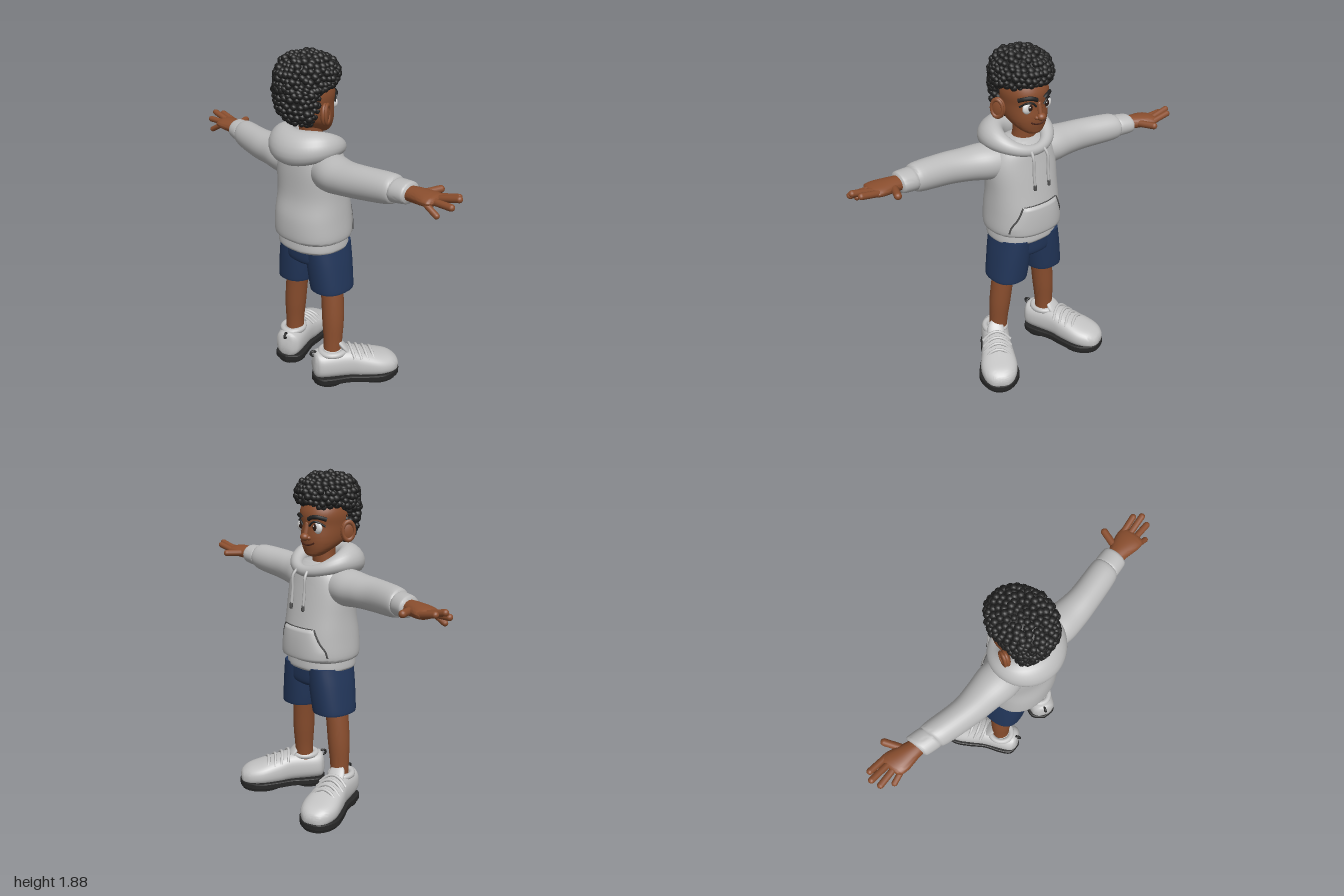
import * as THREE from 'three';
import { mergeGeometries, toCreasedNormals } from 'three/addons/utils/BufferGeometryUtils.js';

const V = (x, y, z) => new THREE.Vector3(x, y, z);
const mat = (name, color) => Object.assign(new THREE.MeshStandardMaterial({ color }), { name });

// Surface from rows of points; wrap joins each row to itself, close joins last row to first
function grid(rows, wrap = true, close = false) {
  const m = rows[0].length, n = rows.length, idx = [];
  for (let i = 0; i < (close ? n : n - 1); i++) for (let j = 0; j < (wrap ? m : m - 1); j++) {
    const k = (i + 1) % n, l = (j + 1) % m;
    idx.push(i * m + j, i * m + l, k * m + l, i * m + j, k * m + l, k * m + j);
  }
  const g = new THREE.BufferGeometry().setFromPoints(rows.flat());
  g.setIndex(idx);
  g.computeVertexNormals();
  return g;
}

// Smooth interpolation of rings { c: centre, a, b: radii }
const ring = (c, a, b = a) => ({ c, a, b });
const upright = (z, rows) => rows.map(([y, x, a, b]) => ring(V(x, y, z), a, b));
function sampler(rings) {
  const c = new THREE.CatmullRomCurve3(rings.map(r => r.c), false, 'catmullrom');
  const q = new THREE.CatmullRomCurve3(rings.map(r => V(r.a, r.b, 0)), false, 'catmullrom');
  return t => ({ c: c.getPoint(t), r: q.getPoint(t) });
}

const AXES = { x: [V(0, 1, 0), V(0, 0, 1)], y: [V(0, 0, 1), V(1, 0, 0)], z: [V(1, 0, 0), V(0, 1, 0)] };
const pw = (v, p) => Math.sign(v) * Math.abs(v) ** (2 / p);

// Capped body through rings stacked along an axis
function loft(axis, rings, p = 2, seg = 36) {
  const list = rings[0].c[axis] > rings.at(-1).c[axis] ? [...rings].reverse() : rings;
  const at = sampler(list), n = (list.length - 1) * 5, [A, B] = AXES[axis], rows = [];
  for (let i = 0; i <= n; i++) {
    const { c, r } = at(i / n);
    rows.push(Array.from({ length: seg }, (_, j) => {
      const a = j / seg * Math.PI * 2;
      return c.clone().addScaledVector(A, r.x * pw(Math.cos(a), p)).addScaledVector(B, r.y * pw(Math.sin(a), p));
    }));
  }
  rows.unshift(rows[0].map(() => at(0).c));
  rows.push(rows[0].map(() => at(1).c));
  return toCreasedNormals(grid(rows), 1);
}

// Front (+x) surface of an upright loft at a given y, z
function frontX(at, y, z, p) {
  let lo = 0, hi = 1;
  for (let i = 0; i < 30; i++) { const m = (lo + hi) / 2; if (at(m).c.y < y) lo = m; else hi = m; }
  const { c, r } = at(lo);
  return c.x + r.y * Math.max(0, 1 - Math.min(1, Math.abs((z - c.z) / r.x)) ** p) ** (1 / p);
}

const ball = (x, y, z, rx, ry, rz) => new THREE.SphereGeometry(1, 24, 16).scale(rx, ry, rz).translate(x, y, z);
const tube = (pts, r) => new THREE.TubeGeometry(new THREE.CatmullRomCurve3(pts), 24, r, 8);
const ARC = [-1, -.5, 0, .5, 1];
function capsule(a, b, r) {
  const d = b.clone().sub(a), g = new THREE.CapsuleGeometry(r, d.length(), 6, 12);
  g.applyQuaternion(new THREE.Quaternion().setFromUnitVectors(V(0, 1, 0), d.clone().normalize()));
  const m = a.clone().lerp(b, 0.5);
  return g.translate(m.x, m.y, m.z);
}

export function createModel() {
  const skin = mat('skin', 0x8a4e2e), black = mat('hair black', 0x202020), fabric = mat('hoodie grey', 0xbcbcbc);
  const navy = mat('shorts navy', 0x22365a), leather = mat('shoe grey', 0xc4c4c4), rubber = mat('sole black', 0x272727);
  const white = mat('eye white', 0xdcdcdc), brown = mat('iris brown', 0x2c1c16), seam = mat('seam grey', 0x505050);
  const lip = mat('mouth brown', 0x4a2418);
  const root = new THREE.Group();
  const group = name => { const g = new THREE.Group(); g.name = name; root.add(g); return g; };
  const add = (name, geo, m, parent = root) => {
    const o = new THREE.Mesh(geo, m); o.name = name; parent.add(o); return o;
  };

  // Hoodie body and hem
  const torso = upright(0, [[.865, -.07, .195, .17], [.89, -.07, .214, .19], [1, -.07, .21, .188],
    [1.12, -.068, .205, .166], [1.27, -.08, .205, .15], [1.36, -.085, .165, .135], [1.4, -.09, .11, .1]]);
  const torsoAt = sampler(torso);
  add('hoodieBody', loft('y', torso, 2.3, 48), fabric);
  add('hoodieHem', loft('y', upright(0, [[.81, -.07, .188, .16], [.825, -.07, .197, .17], [.875, -.07, .193, .167]]), 2.3, 48), fabric);

  // Hood: thick ring, low and thin in front, heavy behind
  const hoodRows = Array.from({ length: 64 }, (_, i) => {
    const a = i / 64 * Math.PI * 2, b = (1 - Math.cos(a)) / 2, s = Math.sin(a);
    const c = V(-.085 + .14 * Math.cos(a), 1.355 + .045 * b + .035 * s * s, .155 * s), rr = .028 + .055 * b, ry = .03 + .06 * b;
    return Array.from({ length: 20 }, (_, j) => {
      const t = j / 20 * Math.PI * 2, k = rr * Math.cos(t) - .02 * b * Math.sin(t);
      return c.clone().add(V(Math.cos(a) * k, ry * Math.sin(t), s * k));
    });
  });
  add('hood', grid(hoodRows, true, true), fabric);

  // Front pocket with slanted openings
  const pocketHalf = y => y < .93 ? .18 : .18 - .065 * ((y - .93) / .125) ** .8;
  const onChest = (y, z, out) => V(frontX(torsoAt, y, z, 2.3) + out, y, z);
  const pocketRows = Array.from({ length: 17 }, (_, i) => {
    const y = .87 + .185 * i / 16;
    return Array.from({ length: 25 }, (_, j) => {
      const s = 1 - j / 12, lift = i % 16 === 0 ? 0 : .015 * (1 - Math.abs(s) ** 10);
      return onChest(y, s * pocketHalf(y), lift);
    });
  });
  add('pocket', grid(pocketRows, false), fabric);
  add('pocketTopSeam', tube(ARC.map(k => onChest(1.055, k * .11, .003)), .003), seam);
  for (const s of [1, -1]) {
    add('pocketOpening', tube(ARC.map(k => { const y = .978 + k * .077; return onChest(y, s * pocketHalf(y), .003); }), .005), seam);
    add('drawstring', tube([V(.065, 1.37, s * .04), V(.095, 1.33, s * .048), V(.1, 1.25, s * .048), V(.11, 1.155, s * .048)], .008), fabric);
    add('drawstringTip', capsule(V(.11, 1.175, s * .048), V(.111, 1.155, s * .048), .009), seam);
  }

  // Arms: shared thickness [reach, radii], hung on one bent centre line per side
  const sleeve = [[.08, .1, .1], [.2, .113, .1], [.31, .097, .09], [.43, .084, .086], [.61, .078, .077], [.645, .06, .055]];
  const cuff = [[.63, .06, .052], [.64, .071, .06], [.71, .07, .056], [.725, .058, .047]];
  const palm = [[.69, .042, .035], [.76, .055, .037], [.83, .071, .033], [.872, .069, .025], [.887, .05, .014]];
  const fingers = [[.058, .022, .957], [.021, .031, .985], [-.022, 0, .975], [-.058, -.045, .922]];
  const bends = {
    right: [1, [-.09, 1.275], [-.145, 1.285], [-.16, 1.304], [-.147, 1.32], [-.15, 1.33]],
    left: [-1, [-.09, 1.275], [-.075, 1.277], [-.05, 1.278], [.008, 1.285], [.054, 1.287]],
  };
  for (const [side, [s, ...path]] of Object.entries(bends)) {
    const arm = group(side + 'Arm');
    const line = new THREE.CatmullRomCurve3(path.map(([x, y], i) => V(x, y, s * (.08 + .2 * i))), false, 'catmullrom');
    const at = z => { const c = line.getPoint(Math.min(1, (z - .08) / .8)); c.z = s * z; return c; };
    const limb = rows => loft('z', rows.map(([z, a, b]) => ring(at(z), a, b)));
    add('sleeve', limb(sleeve), fabric, arm);
    add('cuff', limb(cuff), fabric, arm);
    add('palm', limb(palm), skin, arm);
    const knuckle = at(.87), thumb = at(.765);
    fingers.forEach(([x, y, z], i) => add('finger', capsule(
      knuckle.clone().add(V(.05 - i * .034, 0, i === 3 ? -s * .03 : -s * .015)),
      V(knuckle.x + x, knuckle.y + y, s * z), i === 3 ? .0155 : .0175), skin, arm));
    add('thumb', capsule(thumb.clone().add(V(.03, 0, 0)), thumb.clone().add(V(.128, .005, s * .037)), .0195), skin, arm);
  }

  // Shorts and legs
  add('shortsWaist', loft('y', upright(0, [[.715, -.055, .1, .12], [.74, -.055, .185, .14], [.83, -.055, .188, .145]]), 2.3), navy);
  for (const s of [1, -1]) {
    const short = [[.57, .125, .1, .118], [.58, .125, .106, .123], [.72, .107, .104, .135], [.83, .096, .092, .142]];
    add('shortsLeg', loft('y', short.map(([y, z, a, b]) => ring(V(-.052, y, s * z), a, b)), 2.4), navy);
    add('leg', loft('y', [.051, .053, .061, .063, .064].map((r, i) =>
      ring(V(s > 0 ? -.09 + .0075 * i : -.06, .13 + .1225 * i, s * (.167 - .0023 * i * i)), r))), skin);
  }

  // Shoes, built pointing along +x from the heel centre, then turned outward
  const half = [[-.05, .068], [.02, .082], [.12, .08], [.22, .1], [.32, .108], [.4, .062]].map(p => new THREE.Vector2(...p));
  const foot = new THREE.Shape().moveTo(-.08, 0);
  foot.splineThru([...half.map(p => new THREE.Vector2(p.x, -p.y)), new THREE.Vector2(.42, 0), ...half.reverse(), new THREE.Vector2(-.08, 0)]);
  const upper = [[-.08, .11, .03, .03], [-.068, .12, .072, .055], [-.03, .12, .08, .078], [.12, .12, .086, .083],
    [.2, .105, .08, .094], [.3, .09, .066, .105], [.37, .08, .055, .088], [.408, .07, .04, .055], [.42, .07, .02, .03]];
  for (const [side, x, z, turn] of [['right', -.13, .16, -.57], ['left', -.1, -.16, .37]]) {
    const shoe = group(side + 'Shoe');
    shoe.position.set(x, 0, z); shoe.rotation.y = turn;
    add('upper', loft('x', upper.map(([l, y, a, b]) => ring(V(l, y, 0), a, b)), 2.5), leather, shoe);
    add('outsole', new THREE.ExtrudeGeometry(foot, { depth: .025, bevelSize: .006, bevelThickness: .006, bevelSegments: 2, curveSegments: 5 })
      .rotateX(-Math.PI / 2).translate(0, .022, 0), rubber, shoe);
    add('heelPad', new THREE.CylinderGeometry(.082, .078, .022, 24).scale(1.1, 1, 1).translate(.012, .011, 0), rubber, shoe);
    add('forefootPad', new THREE.CylinderGeometry(.104, .1, .022, 24).scale(1.2, 1, 1).translate(.295, .011, 0), rubber, shoe);
    add('ankleCollar', new THREE.TorusGeometry(.06, .018, 10, 28).rotateX(Math.PI / 2).scale(1.1, 1, 1).translate(.035, .192, 0), leather, shoe);
    add('tongue', new THREE.SphereGeometry(1, 20, 12).scale(.075, .018, .05).rotateZ(-.9).translate(.108, .2, 0), leather, shoe);
    for (let i = 0; i < 4; i++) {
      add('lace', tube(ARC.map(k => V(.135 + i * .04 + .012 * k * k, .218 - i * .012 - .05 * k * k, .08 * k)), .0085), leather, shoe);
    }
    add('heelLoop', new THREE.TorusGeometry(.015, .007, 8, 16).translate(-.077, .187, 0), rubber, shoe);
  }

  // Neck and head
  const hz = -.022;
  add('neck', loft('y', upright(hz, [[1.36, -.08, .07, .07], [1.44, -.065, .062, .062], [1.54, -.07, .065, .07]])), skin);
  const head = upright(hz, [[1.434, .006, .02, .022], [1.442, .003, .045, .042], [1.465, -.014, .075, .066], [1.5, -.045, .1, .105],
    [1.54, -.07, .114, .134], [1.6, -.08, .121, .14], [1.68, -.08, .125, .142], [1.8, -.09, .08, .09]]);
  const headAt = sampler(head);
  add('head', loft('y', head, 2.15, 40), skin);
  const face = (y, dz, out) => V(frontX(headAt, y, hz + dz, 2.15) + out, y, hz + dz);
  const faceArc = (y, dz, width, rise, out, r) => tube(ARC.map(k => face(y + rise * (1 - k * k), dz + k * width, out)), r);
  add('noseTip', ball(.074, 1.543, hz, .024, .021, .025), skin);
  add('noseBridge', capsule(V(.054, 1.61, hz), V(.067, 1.555, hz), .014), skin);
  add('mouth', faceArc(1.514, 0, .052, -.015, .001, .0045), lip);
  for (const s of [1, -1]) {
    add('noseWing', ball(.061, 1.538, hz + s * .021, .015, .012, .012), skin);
    const e = face(1.594, s * .061, 0), ez = e.z - s * .006;
    add('eyeball', ball(e.x - .006, e.y, e.z, .016, .032, .034), white);
    add('iris', ball(e.x + .005, e.y + .002, ez, .008, .0185, .0175), brown);
    add('eyeGlint', ball(e.x + .012, e.y + .009, ez + .005, .002, .005, .005), white);
    add('upperLid', faceArc(1.602, s * .0615, .036, .025, .006, .0055), black);
    add('eyebrow', faceArc(1.638, s * .063, .041, .014, .004, .011), black);
    const ear = add('ear', ball(0, 0, 0, .042, .06, .02), skin);
    ear.position.set(-.105, 1.572, hz + s * .142); ear.rotation.y = s * .45;
    add('earRim', new THREE.TorusGeometry(.034, .009, 8, 24).scale(.95, 1.4, 1).translate(0, .002, s * .014), skin, ear);
  }

  // Hair: solid cap covered in small curls
  const hair = upright(hz, [[1.515, -.14, .07, .045], [1.56, -.165, .108, .066], [1.63, -.165, .124, .092], [1.685, -.16, .13, .102],
    [1.712, -.102, .14, .163], [1.765, -.09, .143, .172], [1.81, -.088, .125, .143], [1.843, -.09, .08, .09], [1.855, -.09, .02, .025]]);
  add('hairCap', loft('y', hair), black);
  const hairAt = sampler(hair), curls = [];
  let seed = 7;
  const rnd = () => (seed = (seed * 16807) % 2147483647) / 2147483647;
  for (let i = 0; i <= 17; i++) {
    const { c, r } = hairAt(i / 17), n = Math.max(2, Math.round(Math.PI * (r.x + r.y) / .031));
    for (let j = 0; j < n; j++) {
      const a = (j + i * .5 + rnd() * .4) / n * Math.PI * 2, k = .98 + rnd() * .06;
      curls.push(new THREE.SphereGeometry(.016 + rnd() * .006, 8, 6)
        .translate(c.x + r.y * k * Math.sin(a), c.y + rnd() * .014 - .004, c.z + r.x * k * Math.cos(a)));
    }
  }
  add('hairCurls', mergeGeometries(curls), black);
  return root;
}
